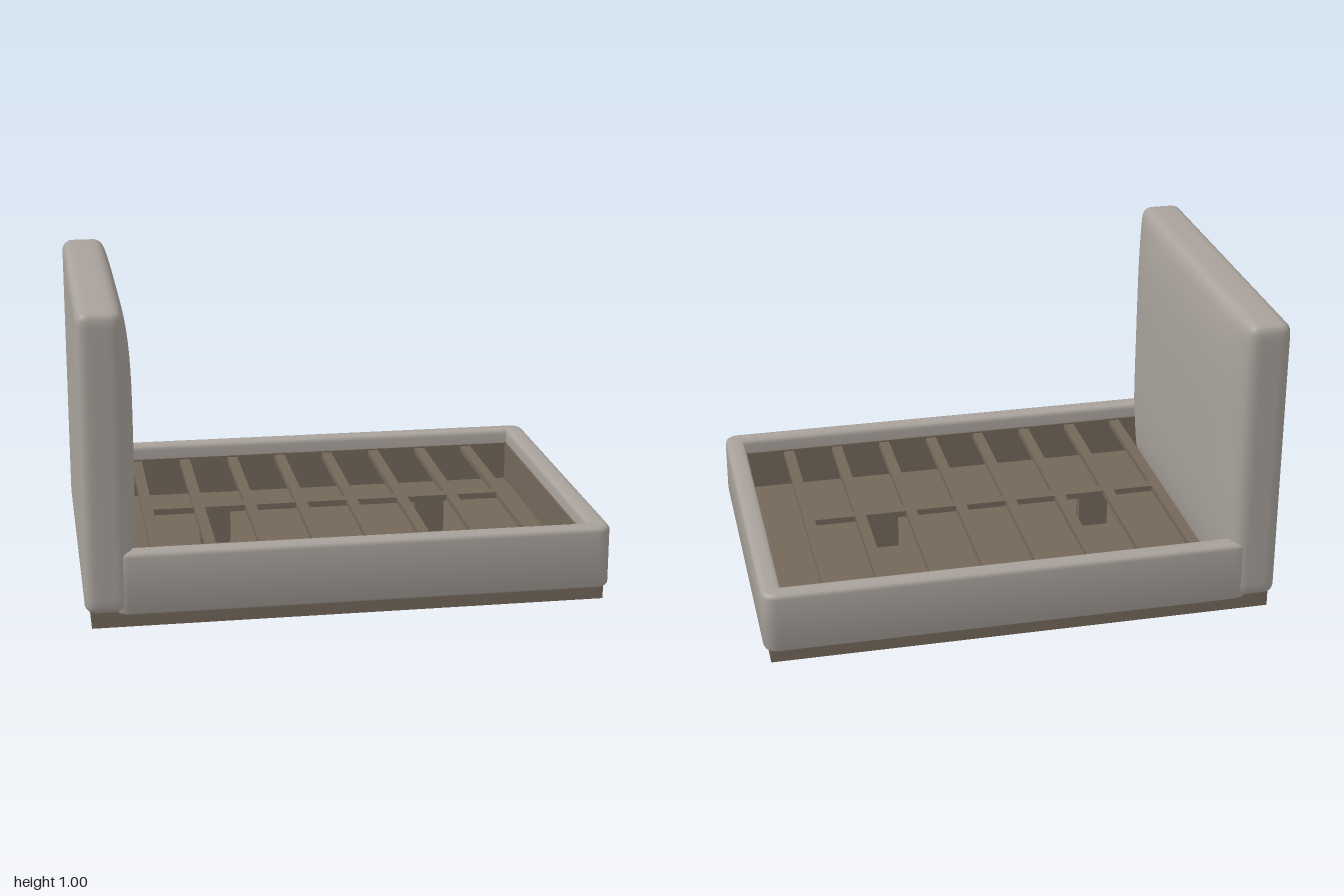
import * as THREE from 'three';
import { mergeVertices, toCreasedNormals } from 'three/addons/utils/BufferGeometryUtils.js';

const fabric = new THREE.MeshStandardMaterial({ color: 0xa8a19b });
fabric.name = 'warm grey fabric';
const wood = new THREE.MeshStandardMaterial({ color: 0x74675a });
wood.name = 'brown wood';

function add(parent, name, geometry, material, x = 0, y = 0, z = 0) {
  const mesh = new THREE.Mesh(geometry, material);
  mesh.name = name;
  mesh.position.set(x, y, z);
  parent.add(mesh);
  return mesh;
}

// Box given by its limits
function block(parent, name, material, x0, x1, y0, y1, z0, z1) {
  return add(parent, name, new THREE.BoxGeometry(x1 - x0, y1 - y0, z1 - z0), material,
    (x0 + x1) / 2, (y0 + y1) / 2, (z0 + z1) / 2);
}

// Soft-edged panel whose +x face swells like a cushion
function cushionGeometry(w, h, d, r, swell) {
  let g = new THREE.BoxGeometry(2, 2, 2, 16, 28, 28);
  g.deleteAttribute('uv');
  g.deleteAttribute('normal');
  g = mergeVertices(g);
  const half = new THREE.Vector3(w / 2, h / 2, d / 2);
  const inner = half.clone().subScalar(r);
  const p = new THREE.Vector3(), core = new THREE.Vector3();
  const pos = g.attributes.position;
  for (let i = 0; i < pos.count; i++) {
    p.fromBufferAttribute(pos, i);
    // crowd the grid towards the edges, then round them
    p.set(...p.toArray().map((t) => Math.sin(t * Math.PI / 2))).multiply(half);
    core.copy(p).clamp(inner.clone().negate(), inner);
    p.sub(core).setLength(r).add(core);
    if (p.x > 0) {
      const v = p.y / half.y, u = p.z / half.z;
      p.x += swell * (p.x / half.x) * (1 - v ** 4) * (1 - u ** 6);
    }
    pos.setXYZ(i, p.x, p.y, p.z);
  }
  g.computeVertexNormals();
  return g;
}

// Rounded rectangle traced on a shape or hole path
function roundedRect(path, x0, x1, y0, y1, r) {
  path.moveTo(x0 + r, y0);
  path.lineTo(x1 - r, y0);
  path.quadraticCurveTo(x1, y0, x1, y0 + r);
  path.lineTo(x1, y1 - r);
  path.quadraticCurveTo(x1, y1, x1 - r, y1);
  path.lineTo(x0 + r, y1);
  path.quadraticCurveTo(x0, y1, x0, y1 - r);
  path.lineTo(x0, y0 + r);
  path.quadraticCurveTo(x0, y0, x0 + r, y0);
  return path;
}

export function createModel() {
  const model = new THREE.Group();
  model.name = 'bedFrame';
  const bed = new THREE.Group();
  bed.name = 'bed';
  bed.rotation.y = 0.5;
  model.add(bed);

  // Wooden plinth and storage floor
  block(bed, 'base', wood, -0.81, 0.81, 0, 0.06, -0.567, 0.567);

  // Upholstered rails and footboard, one padded ring
  const b = 0.018;
  const ring = roundedRect(new THREE.Shape(), -0.74 + b, 0.83 - b, -0.585 + b, 0.585 - b, 0.03);
  ring.holes.push(roundedRect(new THREE.Path(), -0.70 - b, 0.765 + b, -0.523 - b, 0.523 + b, 0.005));
  const rails = new THREE.ExtrudeGeometry(ring, {
    depth: 0.205 - 2 * b, bevelEnabled: true, bevelThickness: b, bevelSize: b,
    bevelSegments: 4, curveSegments: 6,
  });
  rails.rotateX(-Math.PI / 2);
  add(bed, 'sideRails', toCreasedNormals(rails, 0.7), fabric, 0, 0.04 + b, 0);

  // Headboard
  add(bed, 'headboard', cushionGeometry(0.14, 0.95, 1.17, 0.035, 0.035), fabric, -0.76, 0.52, 0);

  // Wooden lining inside the rails
  for (const s of [-1, 1]) {
    block(bed, 'sideLining', wood, -0.69, 0.765, 0.06, 0.195, s * 0.521 - 0.004, s * 0.521 + 0.004);
  }
  block(bed, 'footLining', wood, 0.759, 0.767, 0.06, 0.195, -0.523, 0.523);

  // Cross slats, centre beam and its feet
  for (let i = 0; i < 8; i++) {
    const x = -0.595 + i * 0.172;
    block(bed, 'slat', wood, x - 0.018, x + 0.018, 0.17, 0.19, -0.52, 0.52);
  }
  block(bed, 'centreBeam', wood, -0.61, 0.625, 0.168, 0.188, -0.02, 0.02);
  for (const x of [-0.37, 0.36]) {
    block(bed, 'beamFoot', wood, x - 0.05, x + 0.05, 0.06, 0.168, -0.02, 0.02);
  }
  return model;
}
